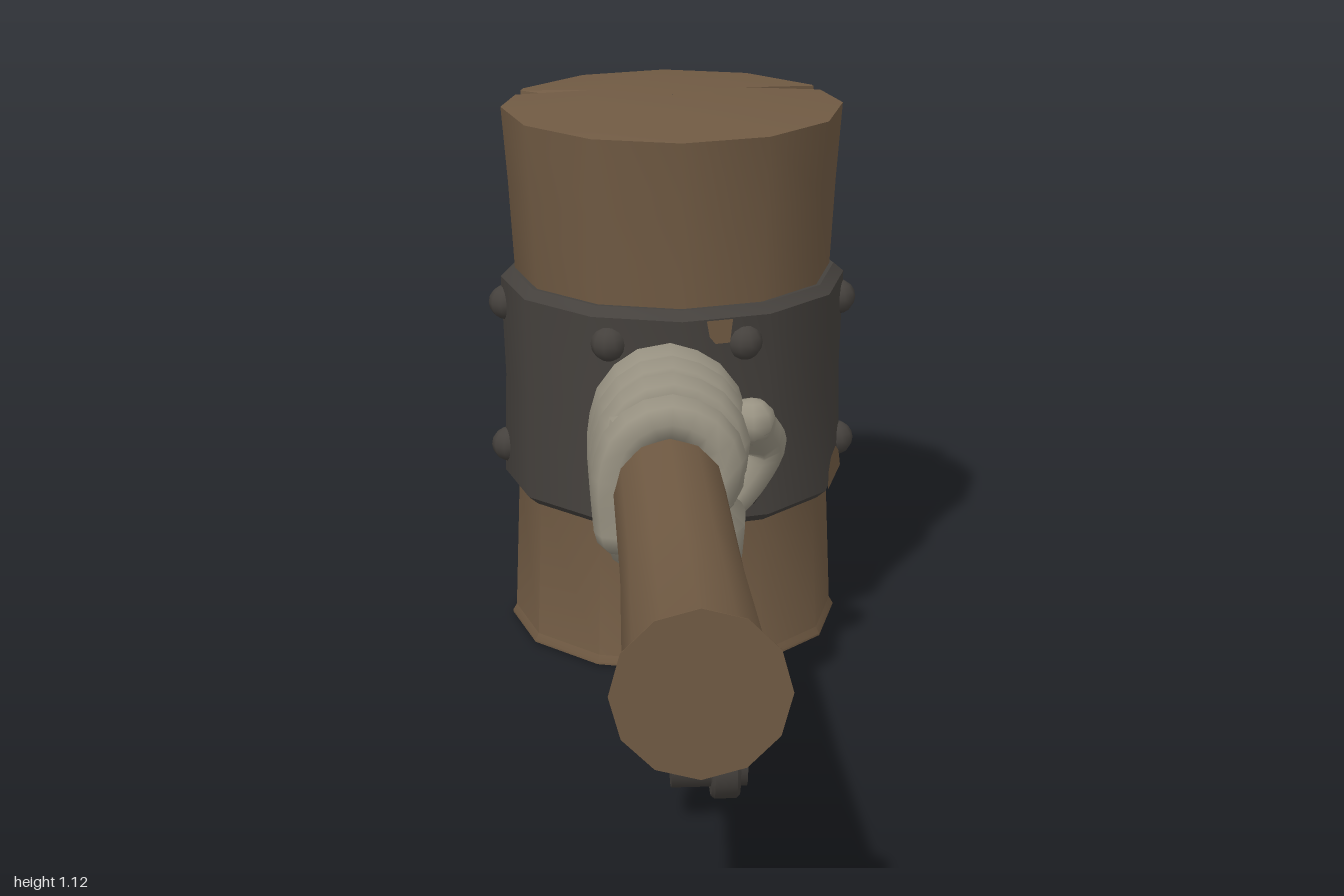
import * as THREE from 'three';
import { toCreasedNormals } from 'three/addons/utils/BufferGeometryUtils.js';

const mat = (name, color, side = THREE.FrontSide) => {
  const m = new THREE.MeshStandardMaterial({ color, side });
  m.name = name;
  return m;
};
const DEG = Math.PI / 180;

export function createModel() {
  const wood = mat('wood', 0x705a43);
  const darkWood = mat('dark wood', 0x4e3d2d);
  const metal = mat('dark metal', 0x45413d);
  const skin = mat('grey hand', 0x989282);
  const model = new THREE.Group();
  model.name = 'mallet';

  const add = (parent, name, geo, material, x = 0, y = 0, z = 0) => {
    const mesh = new THREE.Mesh(geo, material);
    mesh.name = name;
    mesh.position.set(x, y, z);
    parent.add(mesh);
    return mesh;
  };
  const group = (name, x = 0, y = 0, z = 0) => {
    const g = new THREE.Group();
    g.name = name;
    g.position.set(x, y, z);
    model.add(g);
    return g;
  };
  const lathe = (pts, crease = 0.6) =>
    toCreasedNormals(new THREE.LatheGeometry(pts.map(p => new THREE.Vector2(...p)), 12), crease);
  // closed skin over rings of equal point count, listed from bottom to top
  const loft = (rings, crease) => {
    const n = rings[0].length, idx = [];
    for (let r = 0; r < rings.length - 1; r++) {
      for (let k = 0; k < n; k++) {
        const a = r * n + k, b = r * n + (k + 1) % n;
        idx.push(a, b, a + n, b, b + n, a + n);
      }
    }
    const geo = new THREE.BufferGeometry();
    geo.setAttribute('position', new THREE.Float32BufferAttribute(rings.flat(2), 3));
    geo.setIndex(idx);
    return toCreasedNormals(geo, crease);
  };
  // distance to the edge of a twelve-sided outline
  const edge = (R, deg) => R * Math.cos(15 * DEG) / Math.cos((((deg % 30) + 30) % 30 - 15) * DEG);
  const polar = (r, deg, y) => [r * Math.sin(deg * DEG), y, r * Math.cos(deg * DEG)];

  // ---- Mallet head ----
  const head = group('malletHead', 0, 0, -0.65);
  add(head, 'lowerBlock', lathe([[0, 0.005], [0.344, 0.004], [0.344, 0.008], [0.336, 0.022], [0.324, 0.32], [0.322, 0.765]]), wood);

  // upper block, with two notches that open towards the rim
  const cracks = [{ deg: 115, half: 3.2, inner: 0.175 }, { deg: 247, half: 3.5, inner: 0.25 }];
  const notchedRing = (R, y, open) => {
    const ring = [];
    for (let k = 0; k < 12; k++) {
      ring.push(polar(R, k * 30, y));
      cracks.forEach((c, i) => {
        if (Math.floor(c.deg / 30) !== k) return;
        const w = c.half * Math.max(open[i], 0.03), r = edge(R, c.deg);
        ring.push(polar(edge(R, c.deg - w), c.deg - w, y));
        ring.push(polar(r + (c.inner - r) * open[i], c.deg, y));
        ring.push(polar(edge(R, c.deg + w), c.deg + w, y));
      });
    }
    return ring;
  };
  add(head, 'upperBlock', loft([
    notchedRing(0.325, 0.76, [0, 0]),
    notchedRing(0.336, 0.95, [0.55, 0]),
    notchedRing(0.348, 1.105, [1, 1]),
    notchedRing(0.174, 1.123, [0, 0]),
    notchedRing(0.0005, 1.125, [0, 0]),
  ], 0.6), wood);

  // carved growth ring on the underside
  const spiral = [];
  for (let i = 0; i <= 48; i++) {
    const r = 0.03 + 0.24 * i / 48;
    spiral.push(new THREE.Vector3(...polar(r, i * 24, 0.006)));
  }
  add(head, 'bottomSpiral', new THREE.TubeGeometry(new THREE.CatmullRomCurve3(spiral), 110, 0.006, 4), darkWood);

  // ---- Iron band ----
  add(head, 'ironBand', lathe([[0.32, 0.308], [0.332, 0.31], [0.353, 0.328], [0.348, 0.54], [0.355, 0.75], [0.334, 0.768], [0.32, 0.768]], 0.55), metal);
  const rivet = new THREE.SphereGeometry(0.036, 10, 8);
  for (const y of [0.385, 0.695]) {
    for (const deg of [22, 90, 150, 210, 270, 335]) {
      add(head, 'rivet', rivet, metal, ...polar(edge(0.345, deg), deg, y));
    }
  }
  // chips that bare the wood: outline as angle and height, inside one facet
  const chip = pts => {
    const pos = pts.map(([deg, y]) => polar(edge(0.358, deg), deg, y));
    const geo = new THREE.BufferGeometry();
    geo.setAttribute('position', new THREE.Float32BufferAttribute(pos.flat(), 3));
    geo.setIndex(pts.slice(2).flatMap((_, i) => [0, i + 1, i + 2]));
    geo.computeVertexNormals();
    add(head, 'bandChip', geo, wood);
  };
  chip([[61, 0.33], [87, 0.33], [83, 0.37], [76, 0.395], [66, 0.39], [61, 0.365]]);
  chip([[11, 0.70], [16, 0.70], [17, 0.748], [8, 0.748], [9, 0.715]]);

  // ---- Handle ----
  const handle = group('handle', -0.045, 0.53, 0);
  const alongZ = pts => lathe(pts).rotateX(Math.PI / 2);
  add(handle, 'shaft', alongZ([[0, -0.34], [0.105, -0.34], [0.105, 0.1], [0.108, 0.5], [0.122, 0.95], [0.128, 0.975], [0.146, 0.998], [0.146, 1], [0, 1]]), wood);
  add(handle, 'collar', alongZ([[0.1, -0.36], [0.128, -0.36], [0.128, -0.255], [0.1, -0.245]]), metal);

  // ---- Gripping hand ----
  const hand = group('hand');
  const oval = (y, cx, rx, cz, rz) => {
    const ring = [];
    for (let k = 0; k < 16; k++) {
      const s = Math.sin(k * Math.PI / 8), c = Math.cos(k * Math.PI / 8);
      const box = v => Math.sign(v) * Math.pow(Math.abs(v), 0.65);
      ring.push([cx + rx * box(s), y, cz + rz * box(c)]);
    }
    return ring;
  };
  add(hand, 'palm', loft([
    oval(0.322, -0.01, 0.001, -0.13, 0.001),
    oval(0.325, -0.01, 0.09, -0.13, 0.1),
    oval(0.36, -0.025, 0.13, -0.105, 0.145),
    oval(0.43, -0.035, 0.145, -0.095, 0.16),
    oval(0.5, -0.07, 0.117, -0.09, 0.165),
    oval(0.58, -0.1, 0.085, -0.09, 0.165),
    oval(0.65, -0.1, 0.055, -0.09, 0.155),
    oval(0.67, -0.1, 0.001, -0.09, 0.001),
  ], 0.9), skin);
  const digit = (name, pts, r) => {
    const path = pts.map(p => new THREE.Vector3(...p));
    add(hand, name, new THREE.TubeGeometry(new THREE.CatmullRomCurve3(path), 14, r, 8), skin);
    for (const p of [path[0], path[path.length - 1]]) {
      add(hand, name + 'End', new THREE.SphereGeometry(r, 8, 6), skin, p.x, p.y, p.z);
    }
  };
  // each finger rises behind the shaft, crosses over it and curls down
  [[0.036, 0.87], [-0.046, 0.98], [-0.13, 1.02], [-0.213, 1.02]].forEach(([z, s], i) => {
    const pts = [[-0.095, -0.1], [-0.1, 0.02], [-0.075, 0.11], [0.0, 0.155], [0.09, 0.115], [0.118, 0.04], [0.095, -0.02]];
    digit('finger' + (i + 1), pts.map(([x, y]) => [-0.045 + x * (x > 0 ? s : 1), 0.53 + y * s, z]), 0.046);
  });
  digit('thumb', [[0.04, 0.40, -0.15], [0.105, 0.45, -0.185], [0.15, 0.53, -0.19], [0.125, 0.595, -0.14]], 0.047);

  // ---- Crank arm ----
  const crank = group('crankArm');
  // rounded slot outline between two points, in (-z, y)
  const slot = (Type, ax, ay, bx, by, r) => {
    const a = Math.atan2(by - ay, bx - ax);
    const s = new Type();
    s.absarc(bx, by, r, a - Math.PI / 2, a + Math.PI / 2, false);
    s.absarc(ax, ay, r, a + Math.PI / 2, a + Math.PI * 1.5, false);
    s.closePath();
    return s;
  };
  const plate = (shape, x0, x1, bevel = 0) => toCreasedNormals(new THREE.ExtrudeGeometry(shape, {
    depth: x1 - x0 - bevel * 2, curveSegments: 8, bevelEnabled: bevel > 0,
    bevelThickness: bevel, bevelSize: bevel, bevelOffset: -bevel, bevelSegments: 1,
  }).translate(0, 0, x0 + bevel).rotateY(Math.PI / 2), 0.55);

  const link = slot(THREE.Shape, -0.355, 0.12, 0.09, 0.12, 0.075);
  link.holes.push(slot(THREE.Path, -0.25, 0.12, -0.02, 0.12, 0.038));
  add(crank, 'link', plate(link, 0.012, 0.064, 0.006), metal);
  add(crank, 'linkWeb', plate(slot(THREE.Shape, -0.26, 0.12, -0.01, 0.12, 0.045), 0.025, 0.052), metal);

  const upright = slot(THREE.Shape, 0.085, 0.125, 0.085, 0.31, 0.073);
  upright.holes.push(slot(THREE.Path, 0.085, 0.24, 0.085, 0.31, 0.042));
  add(crank, 'upright', plate(upright, -0.034, 0.01, 0.004), metal);
  add(crank, 'uprightWeb', plate(slot(THREE.Shape, 0.085, 0.23, 0.085, 0.3, 0.05), -0.022, -0.002), metal);

  for (const [z, x0] of [[0.355, -0.06], [-0.085, -0.045]]) {
    const pin = new THREE.CylinderGeometry(0.053, 0.053, 0.078 - x0, 16).rotateZ(Math.PI / 2);
    add(crank, 'pivotPin', pin, metal, (0.078 + x0) / 2, 0.12, z);
  }
  // worn patches
  add(crank, 'uprightWear', new THREE.BoxGeometry(0.036, 0.08, 0.006), wood, -0.012, 0.288, -0.012);
  add(crank, 'linkWear', new THREE.BoxGeometry(0.04, 0.006, 0.05), wood, 0.038, 0.194, 0.335);

  return model;
}
